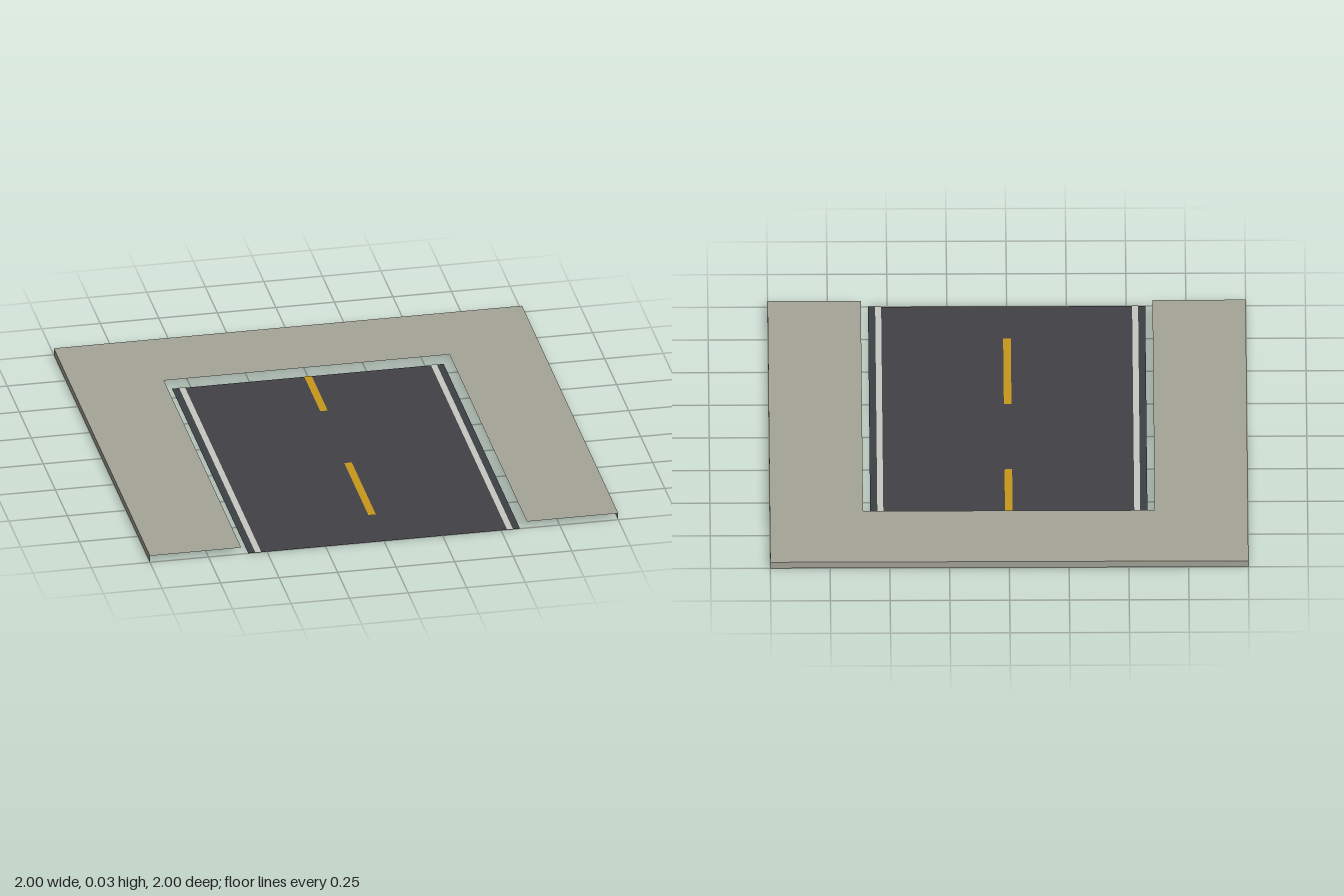
import * as THREE from 'three';

const HEIGHT = 0.03;    // raised pavement level
const INNER = 0.61;     // inner edge of the pavement
const ROAD = 0.58;      // half width of the road
const ROAD_BACK = -0.585;

const mat = (name, color) => {
  const m = new THREE.MeshStandardMaterial({ color, side: THREE.DoubleSide });
  m.name = name;
  return m;
};

export function createModel() {
  const group = new THREE.Group();
  group.name = 'roadEnd';

  const concrete = mat('concrete', 0xa5a498);
  const asphalt = mat('asphalt', 0x424146);
  const gutterGrey = mat('gutterGrey', 0x3d4143);
  const lineWhite = mat('lineWhite', 0xc8c8c3);
  const lineYellow = mat('lineYellow', 0xc8961a);

  const add = (name, geometry, material) => {
    const mesh = new THREE.Mesh(geometry, material);
    mesh.name = name;
    group.add(mesh);
    return mesh;
  };

  // Flat horizontal strip between two corners at height y
  const strip = (name, x0, x1, z0, z1, y, material) => {
    const g = new THREE.PlaneGeometry(x1 - x0, z1 - z0).rotateX(-Math.PI / 2);
    g.translate((x0 + x1) / 2, y, (z0 + z1) / 2);
    return add(name, g, material);
  };

  // U-shaped raised pavement, open towards the front
  const outline = new THREE.Shape([
    [-1, -1], [-INNER, -1], [-INNER, INNER], [INNER, INNER],
    [INNER, -1], [1, -1], [1, 1], [-1, 1],
  ].map(([x, y]) => new THREE.Vector2(x, y)));
  const top = new THREE.ShapeGeometry(outline).rotateX(-Math.PI / 2);
  add('pavementTop', top.translate(0, HEIGHT, 0), concrete);

  // Outer skirt on the left, back and right; the underside stays hollow
  [['leftSkirt', Math.PI / 2], ['backSkirt', Math.PI], ['rightSkirt', -Math.PI / 2]]
    .forEach(([name, angle]) => {
      const wall = new THREE.PlaneGeometry(2, HEIGHT).translate(0, HEIGHT / 2, 1);
      add(name, wall.rotateY(angle), concrete);
    });

  // Sunken road surface
  strip('roadSurface', -ROAD, ROAD, ROAD_BACK, 1, 0, asphalt);

  // Gutters and edge lines on both sides
  for (const [side, s] of [['left', 1], ['right', -1]]) {
    const band = (name, a, b, y, m) =>
      strip(side + name, Math.min(s * a, s * b), Math.max(s * a, s * b), ROAD_BACK, 1, y, m);
    band('Gutter', 0.55, ROAD, 0.001, gutterGrey);
    band('EdgeLine', 0.525, 0.55, 0.002, lineWhite);
  }

  // Centre dashes
  for (const [z0, z1] of [[ROAD_BACK, -0.25], [0.25, 0.75]]) {
    strip('centreDash', -0.016, 0.016, z0, z1, 0.002, lineYellow);
  }

  return group;
}
